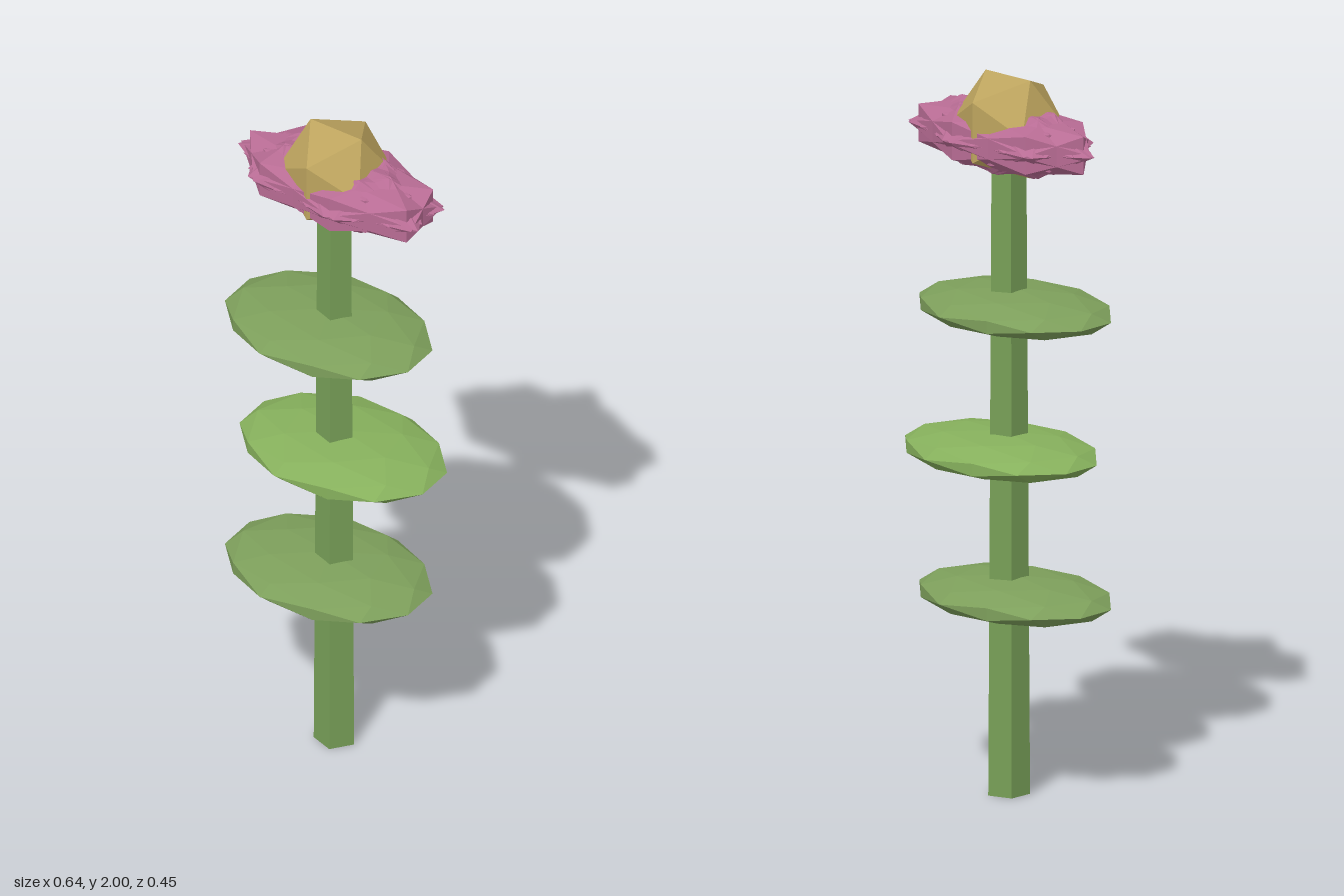
import * as THREE from 'three';

const CENTRE_X = -0.008;

function part(name, geometry, color) {
  const material = new THREE.MeshStandardMaterial({ color, flatShading: true });
  const mesh = new THREE.Mesh(geometry, material);
  mesh.name = name;
  return mesh;
}

export function createModel() {
  const model = new THREE.Group();
  model.name = 'flower';

  // Five-sided tapering stem with one corner towards +x
  const stem = part('stem', new THREE.CylinderGeometry(0.05, 0.06, 1.8, 5).rotateY(Math.PI / 2), 0x779f57);
  stem.position.set(CENTRE_X, 0.9, 0);
  model.add(stem);

  // Flat leaves, shifted to alternate sides of the stem
  const leafShape = new THREE.IcosahedronGeometry(1, 1).rotateY(-0.245).scale(0.31, 0.057, 0.222);
  for (let i = 0; i < 3; i++) {
    const side = i % 2 ? 1 : -1;
    const leaf = part('leaf', leafShape, i % 2 ? 0x86b05c : 0x7d9f5b);
    leaf.position.set(CENTRE_X + side * 0.017, 0.553 + i * 0.4, side * -0.01);
    model.add(leaf);
  }

  // Spiky bloom: seven overlapping petals turned about y, then squashed together
  const bloom = new THREE.Group();
  bloom.name = 'bloom';
  const petalShape = new THREE.IcosahedronGeometry(1, 0).rotateY(Math.PI / 2).translate(-0.09, 0, 0);
  const count = 7;
  for (let i = 0; i < count; i++) {
    const petal = part('petal', petalShape, 0xb86c94);
    petal.rotation.y = (i / count) * Math.PI * 2;
    bloom.add(petal);
  }
  bloom.scale.set(0.315, 0.1, 0.15);
  bloom.position.set(0.003, 1.828, 0);
  model.add(bloom);

  // Faceted golden centre
  const centre = part('flowerCentre', new THREE.IcosahedronGeometry(0.16, 0), 0xbda45e);
  centre.position.set(CENTRE_X, 1.864, 0);
  model.add(centre);

  return model;
}
